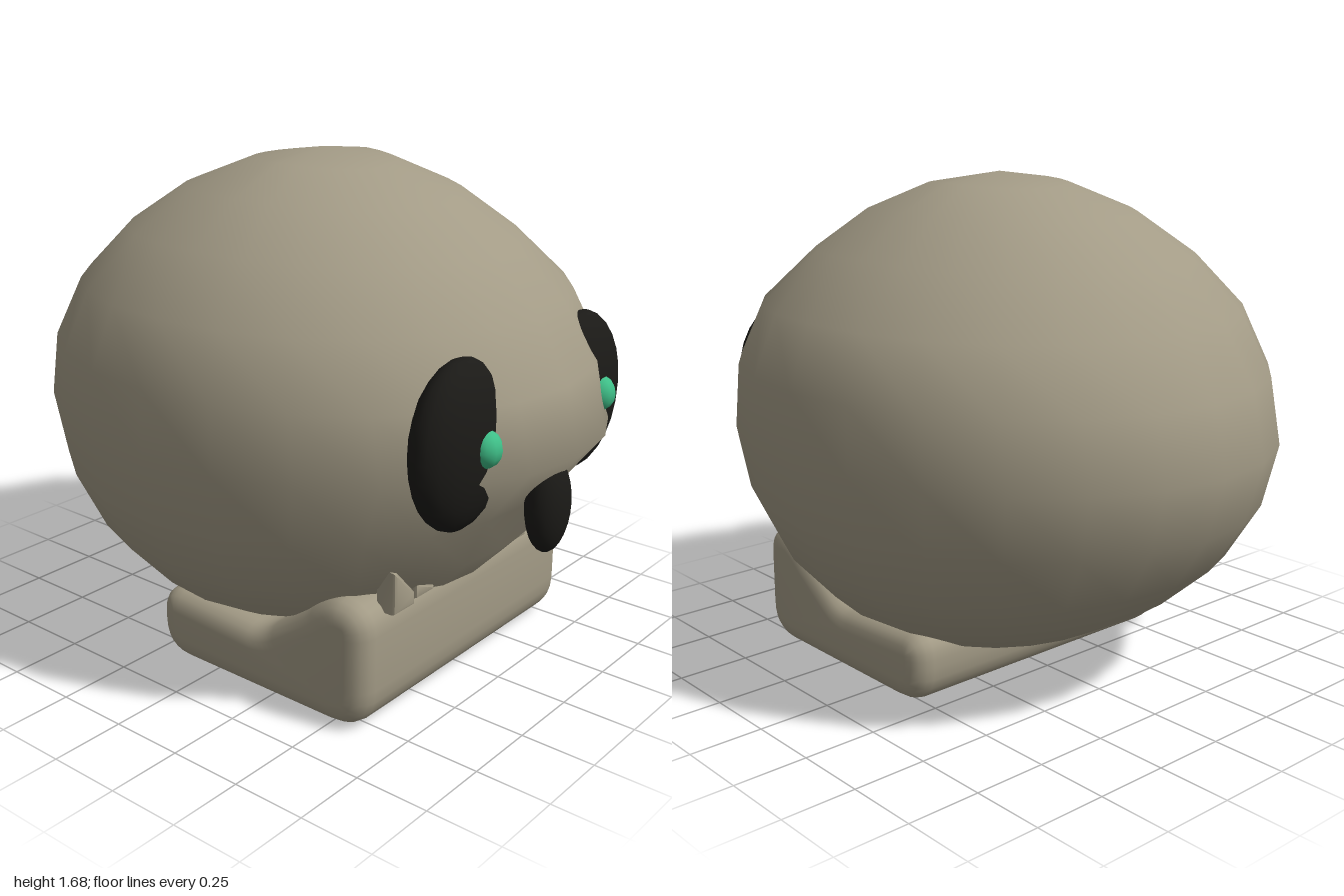
import * as THREE from 'three';
import { mergeVertices, toCreasedNormals } from 'three/addons/utils/BufferGeometryUtils.js';

const bone = new THREE.MeshStandardMaterial({ color: 0xa39b86 });
const black = new THREE.MeshStandardMaterial({ color: 0x1b1a17 });
const green = new THREE.MeshStandardMaterial({ color: 0x3fbf88 });
const MID = -0.015; // centre line of the face and jaw

function add(group, name, geometry, material) {
  const mesh = new THREE.Mesh(geometry, material);
  mesh.name = name;
  group.add(mesh);
  return mesh;
}

function ellipsoid(group, name, material, position, radii, w = 20, h = 14) {
  const mesh = add(group, name, new THREE.SphereGeometry(1, w, h), material);
  mesh.position.set(...position);
  mesh.scale.set(...radii);
}

// Coarse smooth ellipsoid, drawn in under the face and fuller at the temples
function craniumGeometry() {
  const base = new THREE.SphereGeometry(1, 24, 12);
  base.deleteAttribute('uv');
  base.deleteAttribute('normal');
  const geo = mergeVertices(base, 1e-4);
  const p = geo.attributes.position;
  const bump = (v, centre, width) => Math.exp(-(((v - centre) / width) ** 2));
  for (let i = 0; i < p.count; i++) {
    const x = p.getX(i), y = p.getY(i), z = p.getZ(i);
    let s = 1 - 0.07 * Math.abs(y * z);
    if (y < 0) {
      const front = THREE.MathUtils.smoothstep(z, -0.2, 0.5);
      const ramp = THREE.MathUtils.lerp(Math.min(1, -y / 0.8), Math.min(1, -y / 0.25), front);
      s = 1 - (0.1 + 0.03 * front) * ramp * (1 - x * x);
    }
    let w = 1 + 0.05 * bump(y, 0.42, 0.2);
    if (x > 0) w -= 0.08 * bump(y, 0.78, 0.12);
    p.setXYZ(i, x * w * 0.855, 0.84 + y * s * 0.84, z * s);
  }
  geo.computeVertexNormals();
  return geo;
}

// Side profile extruded across the head, with every edge rounded
function jawGeometry() {
  const b = 0.07, width = 1.155;
  const s = new THREE.Shape();
  s.moveTo(-0.5, 0);
  s.lineTo(0.11, 0);
  s.quadraticCurveTo(0.24, 0, 0.24, 0.13);
  s.lineTo(0.24, 0.16);
  s.quadraticCurveTo(0.24, 0.245, 0.15, 0.243);
  s.lineTo(-0.16, 0.225);
  s.quadraticCurveTo(-0.21, 0.222, -0.25, 0.25);
  s.lineTo(-0.38, 0.34);
  s.quadraticCurveTo(-0.47, 0.425, -0.53, 0.425);
  s.quadraticCurveTo(-0.64, 0.425, -0.64, 0.32);
  s.lineTo(-0.64, 0.14);
  s.quadraticCurveTo(-0.64, 0, -0.5, 0);
  const geo = new THREE.ExtrudeGeometry(s, {
    depth: width - 2 * b, bevelThickness: b, bevelSize: b, bevelOffset: -b,
    bevelSegments: 4, curveSegments: 6,
  });
  geo.translate(0, 0, -(width / 2 - b));
  geo.rotateY(Math.PI / 2);
  return toCreasedNormals(geo, 0.7);
}

// Small wedge tooth; points run outward along the side of the face
function toothGeometry(points, side, z, depth) {
  const b = 0.012;
  const s = new THREE.Shape(points.map(([x, y]) => new THREE.Vector2(x * side, y)));
  const geo = new THREE.ExtrudeGeometry(s, {
    depth: depth - 2 * b, bevelThickness: b, bevelSize: b, bevelOffset: -b, bevelSegments: 2,
  });
  geo.translate(MID, 0, z - depth / 2 + b);
  return toCreasedNormals(geo, 0.6);
}

export function createModel() {
  const model = new THREE.Group();
  model.name = 'skull';

  add(model, 'cranium', craniumGeometry(), bone);
  add(model, 'jaw', jawGeometry(), bone).position.x = MID;
  ellipsoid(model, 'nose', black, [MID, 0.67, 0.91], [0.09, 0.16, 0.065]);

  const tusk = [[0.345, 0.38], [0.45, 0.38], [0.45, 0.52], [0.43, 0.515], [0.345, 0.425]];
  const smallTooth = [[0.22, 0.38], [0.315, 0.38], [0.315, 0.43], [0.3, 0.43], [0.22, 0.395]];
  for (const [side, label] of [[1, 'left'], [-1, 'right']]) {
    // Eyes
    ellipsoid(model, label + 'EyeSocket', black,
      [MID + side * 0.335, 0.932, 0.797], [0.213, 0.265, 0.103]);
    ellipsoid(model, label + 'Pupil', green,
      [MID * 0.6 + side * 0.33, 0.938, 0.885], [0.052, 0.058, 0.05], 10, 8);
    // Lower teeth
    add(model, label + 'Tusk', toothGeometry(tusk, side, 0.628, 0.075), bone);
    add(model, label + 'SmallTooth', toothGeometry(smallTooth, side, 0.62, 0.06), bone);
  }
  return model;
}
